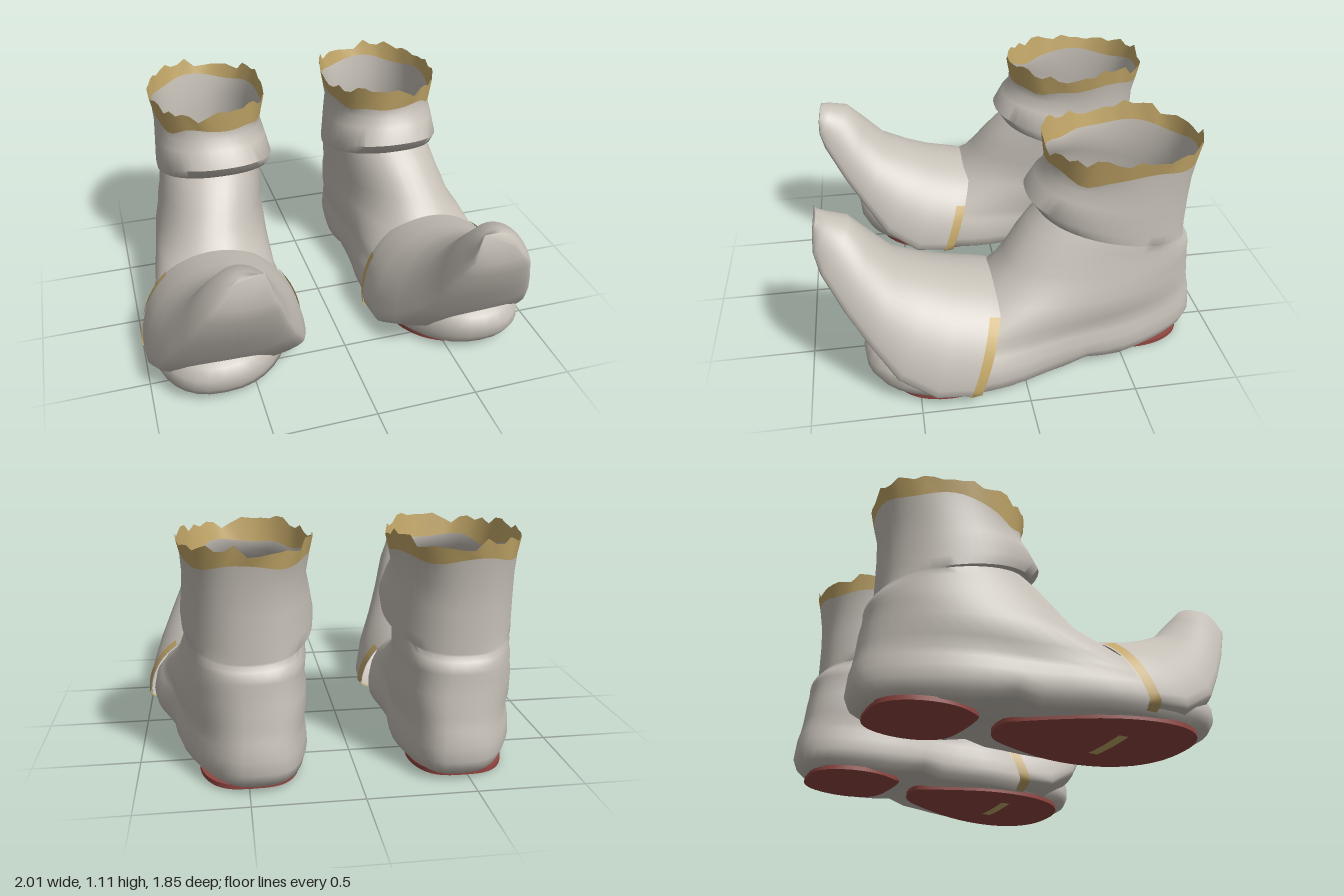
import * as THREE from 'three';
import { toCreasedNormals } from 'three/addons/utils/BufferGeometryUtils.js';

const N = 48;

// Skins a list of rings; m = -1 gives the mirrored boot.
function loft(rings, m, closed = true) {
  const n = rings[0].length, pos = [], idx = [];
  for (const ring of rings) for (const p of ring) pos.push(p[0] * m, p[1], p[2]);
  for (let i = 0; i < rings.length - 1; i++) {
    for (let j = 0; j < (closed ? n : n - 1); j++) {
      const a = i * n + j, b = i * n + (j + 1) % n, c = a + n, d = b + n;
      if (m > 0) idx.push(a, c, b, b, c, d);
      else idx.push(a, b, c, b, d, c);
    }
  }
  const g = new THREE.BufferGeometry();
  g.setAttribute('position', new THREE.Float32BufferAttribute(pos, 3));
  g.setIndex(idx);
  return toCreasedNormals(g, 1.0);
}

// Plan outline of the boot at one height: back and front z, centre x and half width at each end.
function outline([y, zB, zF, xB, xF, wB, wF, tilt = 0], jag = () => 0) {
  const ring = [];
  for (let i = 0; i < N; i++) {
    const t = (i / N) * Math.PI * 2, s = (1 - Math.cos(t)) / 2, sn = Math.sin(t);
    const z = zB + (zF - zB) * s;
    const waist = 1 - 0.15 * Math.exp(-(((z + 0.2) / 0.22) ** 2)) * Math.max(0, 1 - y / 0.6);
    const w = (wB + (wF - wB) * s) * waist;
    const arch = 0.04 * Math.exp(-(((z + 0.33) / 0.06) ** 2)) * Math.max(0, 1 - y / 0.15);
    const round = 0.85 - 0.22 * (1 - s) * Math.max(0, 1 - y / 0.7);
    const x = xB + (xF - xB) * s + w * Math.sign(sn) * Math.abs(sn) ** round;
    ring.push([x, y + tilt * s + arch + jag(i, t), z]);
  }
  return ring;
}

// Slanted egg-shaped section of the toe cap, widest near its bottom.
function capSection([zT, yT, zB, yB, x0, x1], grow = 0) {
  const ring = [], c = (x0 + x1) / 2, w = (x1 - x0) / 2 + grow, k = 0.85;
  for (let i = 0; i < N; i++) {
    const f = i <= N / 2 ? i / (N / 2) : 2 - i / (N / 2);
    const upper = f < 0.7;
    const q = (upper ? f / 0.7 : (f - 0.7) / 0.3) * Math.PI / 2;
    const v = upper ? k * (1 - Math.cos(q)) : k + (1 - k) * Math.sin(q);
    const x = w * (upper ? Math.sin(q) : Math.cos(q)) * (i <= N / 2 ? 1 : -1);
    ring.push([c + x, yT + (yB - yT) * v + grow * (1 - 2 * v), zT + (zB - zT) * v]);
  }
  return ring;
}

// Foot, ankle and folded cuff, from the ground up
const BODY = [
  [0.02, -0.86, 0.65, 0.46, 0.66, 0, 0],
  [0.02, -0.86, 0.65, 0.46, 0.66, 0.25, 0.40],
  [0.05, -0.90, 0.71, 0.45, 0.66, 0.28, 0.44],
  [0.10, -0.92, 0.74, 0.45, 0.67, 0.30, 0.44],
  [0.16, -0.915, 0.745, 0.45, 0.67, 0.30, 0.42],
  [0.21, -0.91, 0.72, 0.45, 0.66, 0.30, 0.38],
  [0.245, -0.90, 0.65, 0.45, 0.65, 0.30, 0.35],
  [0.30, -0.89, 0.42, 0.45, 0.63, 0.30, 0.36],
  [0.40, -0.88, 0.22, 0.45, 0.61, 0.30, 0.32],
  [0.46, -0.87, 0.13, 0.46, 0.58, 0.295, 0.29],
  [0.50, -0.87, 0.06, 0.46, 0.56, 0.295, 0.28, 0.04],
  [0.53, -0.865, 0.01, 0.46, 0.54, 0.29, 0.27, 0.08],
  [0.55, -0.85, -0.06, 0.47, 0.52, 0.285, 0.265, 0.14],
  [0.57, -0.83, -0.13, 0.475, 0.50, 0.28, 0.265, 0.18],
  [0.58, -0.83, -0.10, 0.475, 0.475, 0.28, 0.325, 0.175],
  [0.63, -0.83, -0.055, 0.475, 0.475, 0.285, 0.33, 0.19],
  [0.78, -0.83, -0.10, 0.48, 0.48, 0.285, 0.30, 0.12],
  [0.90, -0.835, -0.14, 0.485, 0.485, 0.28, 0.28, 0.04],
];
const TRIM_LOW = [1.005, -0.855, -0.145, 0.48, 0.48, 0.29, 0.29];
const TRIM_TOP = [1.08, -0.87, -0.13, 0.48, 0.48, 0.305, 0.305];

// Curled toe cap, from its back edge to the tip
const CAP = [
  [0.09, 0.45, 0.25, 0.007, 0.19, 0.99],
  [0.14, 0.465, 0.30, 0.007, 0.18, 1.0],
  [0.30, 0.50, 0.45, 0.01, 0.19, 0.995],
  [0.42, 0.54, 0.62, 0.12, 0.24, 0.96],
  [0.57, 0.61, 0.72, 0.28, 0.31, 0.90],
  [0.68, 0.73, 0.82, 0.44, 0.37, 0.83],
  [0.76, 0.815, 0.91, 0.62, 0.42, 0.76],
  [0.85, 0.84, 0.93, 0.70, 0.455, 0.70],
  [0.90, 0.85, 0.925, 0.77, 0.47, 0.65],
];

// Red sole pads: outlines without height
const PADS = {
  heelSole: [-0.845, -0.36, 0.48, 0.50, 0.225, 0.235],
  forefootSole: [-0.27, 0.64, 0.54, 0.65, 0.24, 0.38],
};

function buildBoot(m, mats) {
  const boot = new THREE.Group();
  const add = (name, geo, mat) => {
    const mesh = new THREE.Mesh(geo, mat);
    mesh.name = name;
    boot.add(mesh);
  };

  // Ragged trim edges, dipping at both front corners
  let seed = 7;
  const noise = Array.from({ length: N }, () => {
    seed = (seed * 16807) % 2147483647;
    return seed / 2147483647 - 0.5;
  });
  const lowEdge = (i, t) =>
    0.014 * Math.sin(5 * t + 1) - 0.05 * Math.exp(-(((Math.cos(t) + 0.68) / 0.22) ** 2));
  const topEdge = (i, t) => 0.05 * noise[i] + 0.012 * Math.sin(4 * t);
  const low = outline(TRIM_LOW, lowEdge);

  add('bootBody', loft([...BODY.map((r) => outline(r)), low], m), mats.leather);
  add('cuffTrim', loft([low, outline(TRIM_TOP, topEdge)], m), mats.gold);

  const tip = Array.from({ length: N }, () => [0.495, 0.855, 0.91]);
  add('toeCap', loft([...CAP.map((r) => capSection(r)), tip], m), mats.leather);

  // Band along the cap's back edge and under the sole, leaving the instep bare
  const band = [0, 1].map((k) => capSection(CAP[k], 0.007).slice(7, N - 9));
  add('toeBand', loft(band, m, false), mats.gold);

  for (const [name, p] of Object.entries(PADS)) {
    const flat = [...p.slice(0, 4), 0, 0];
    const rings = [[0.004, ...flat], [0.004, ...p], [0.026, ...p], [0.026, ...flat]];
    add(name, loft(rings.map((r) => outline(r)), m), mats.sole);
  }
  return boot;
}

export function createModel() {
  const material = (name, color) => {
    const mat = new THREE.MeshStandardMaterial({ color, side: THREE.DoubleSide });
    mat.name = name;
    return mat;
  };
  const mats = {
    leather: material('pale grey leather', 0xc6c0b7),
    gold: material('gold trim', 0xc4a869),
    sole: material('red sole', 0x924742),
  };
  const group = new THREE.Group();
  group.name = 'curledToeBoots';
  for (const m of [1, -1]) {
    const boot = buildBoot(m, mats);
    boot.name = m > 0 ? 'leftBoot' : 'rightBoot';
    group.add(boot);
  }
  return group;
}
